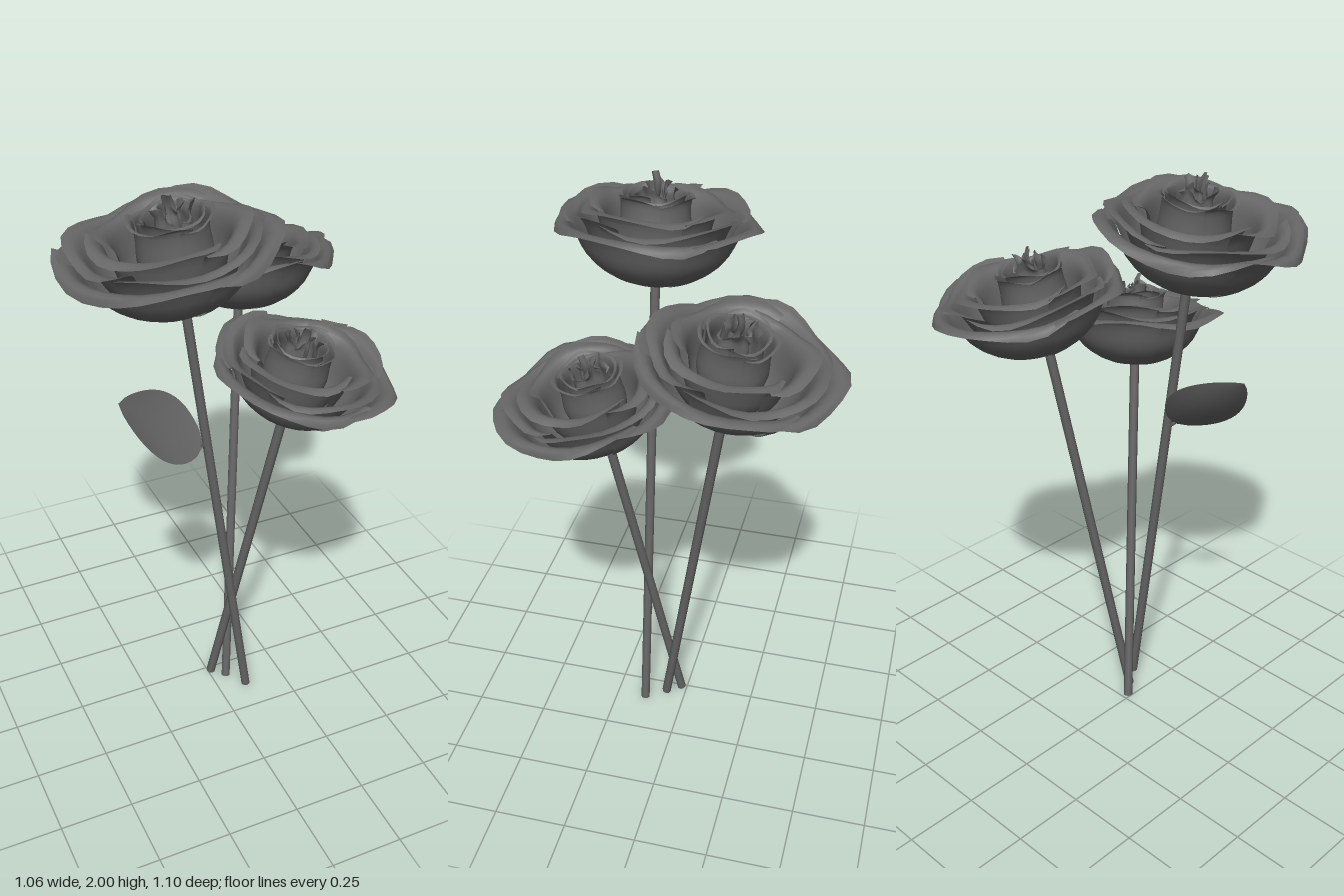
import * as THREE from 'three';

const mat = new THREE.MeshStandardMaterial({ color: 0x666666, side: THREE.DoubleSide });
const UP = new THREE.Vector3(0, 1, 0);

function mesh(name, geometry) {
  const m = new THREE.Mesh(geometry, mat);
  m.name = name;
  return m;
}

// Petal layers from outside in: profile points are [radius, height], lips curl outwards
const layers = [
  { name: 'outerPetal', count: 3, span: 2.4, start: 0.3, twist: 0.03, drop: 0.14, wave: 0.022, crumple: 0.015, shift: 0.025,
    profile: [[0, 0], [0.1, 0.008], [0.18, 0.05], [0.228, 0.1], [0.255, 0.155], [0.285, 0.2], [0.315, 0.205], [0.332, 0.188]] },
  { name: 'lowerPetal', count: 3, span: 2.3, start: 1.4, twist: 0.05, drop: 0.14, wave: 0.02, crumple: 0.015, shift: 0.022,
    profile: [[0, 0.005], [0.1, 0.02], [0.17, 0.07], [0.212, 0.13], [0.235, 0.185], [0.262, 0.225], [0.295, 0.226]] },
  { name: 'middlePetal', count: 3, span: 2.5, start: 0.2, twist: 0.09, drop: 0.13, wave: 0.016, crumple: 0.02, shift: 0.015,
    profile: [[0, 0.015], [0.09, 0.04], [0.145, 0.1], [0.165, 0.17], [0.18, 0.225], [0.205, 0.25], [0.238, 0.245]] },
  { name: 'budPetal', count: 3, span: 2.5, start: 0.5, twist: 0.06, drop: 0.08, wave: 0.01, crumple: 0.02, shift: 0,
    profile: [[0, 0.05], [0.08, 0.08], [0.112, 0.15], [0.108, 0.23], [0.112, 0.278], [0.126, 0.284]] },
  { name: 'budLining', count: 2, span: 3.3, start: 1.6, twist: 0.06, drop: 0.08, wave: 0.012, crumple: 0.03, shift: -0.005,
    profile: [[0, 0.08], [0.07, 0.12], [0.09, 0.2], [0.086, 0.26], [0.094, 0.288], [0.102, 0.288]] },
  { name: 'heartPetal', count: 2, span: 2.7, start: 0.1, twist: 0.15, drop: 0.12, wave: 0.02, crumple: 0.2, shift: -0.005,
    profile: [[0, 0.1], [0.045, 0.16], [0.055, 0.24], [0.05, 0.285], [0.06, 0.305]] },
  { name: 'heartCore', count: 2, span: 2.4, start: 0.9, twist: 0.2, drop: 0.16, wave: 0.016, crumple: 0.35, shift: -0.005,
    profile: [[0, 0.14], [0.022, 0.2], [0.028, 0.27], [0.024, 0.3], [0.034, 0.318]] },
];

// One petal: a sheet swept round the axis, rounded at the sides, rippled and creased at the rim
function petal(layer, index, seed) {
  const curve = new THREE.CatmullRomCurve3(layer.profile.map(([r, y]) => new THREE.Vector3(r, y, 0)));
  const geo = new THREE.PlaneGeometry(2, 1, 12, 14);
  const pos = geo.attributes.position;
  const mid = layer.start + (index * Math.PI * 2) / layer.count;
  const phase = index * 2.1 + seed + layer.start * 3;
  for (let i = 0; i < pos.count; i++) {
    const u = pos.getX(i);
    const v = pos.getY(i) + 0.5;
    const p = curve.getPoint(v * (1 - layer.drop * u ** 4));
    const ripple = v ** 5 * Math.sin(u * 4.5 + phase);
    const crease = v ** 2 * Math.sin(u * 9 + phase);
    const r = p.x * (1 + layer.twist * u + 0.03 * ripple + layer.crumple * crease);
    const a = mid + (u * layer.span) / 2;
    pos.setXYZ(i, r * Math.cos(a), p.y + layer.wave * ripple, r * Math.sin(a));
  }
  geo.computeVertexNormals();
  return mesh(layer.name, geo);
}

// Rose head, with the outer layers pushed a little along the lean
function roseHead(seed, lean) {
  const head = new THREE.Group();
  head.name = 'roseHead';
  for (const layer of layers) {
    const ring = new THREE.Group();
    ring.name = layer.name + 'Ring';
    for (let i = 0; i < layer.count; i++) ring.add(petal(layer, i, seed));
    ring.position.copy(lean).multiplyScalar(layer.shift);
    head.add(ring);
  }
  // small hooked tip in the heart
  const tip = mesh('heartTip', new THREE.PlaneGeometry(0.05, 0.09, 4, 4));
  const pos = tip.geometry.attributes.position;
  for (let i = 0; i < pos.count; i++) {
    const y = pos.getY(i);
    pos.setZ(i, 0.01 * Math.sin(pos.getX(i) * 110) + 5 * y * y);
    pos.setX(i, pos.getX(i) * (0.75 - 5 * y) - 4 * y * y);
  }
  tip.geometry.computeVertexNormals();
  tip.position.y = 0.308;
  head.add(tip);
  return head;
}

function rose({ base, top, scale, seed }) {
  const g = new THREE.Group();
  g.name = 'rose';
  const a = new THREE.Vector3(...base), b = new THREE.Vector3(...top);
  const axis = b.clone().sub(a);
  const dir = axis.clone().normalize();
  const turn = new THREE.Quaternion().setFromUnitVectors(UP, dir);
  // straight stem running into the bottom of the head
  const stem = mesh('stem', new THREE.CylinderGeometry(0.016, 0.016, axis.length() + 0.03, 8));
  stem.position.copy(a).lerp(b, 0.5).addScaledVector(dir, 0.015);
  stem.quaternion.copy(turn);
  const head = roseHead(seed, new THREE.Vector3(axis.x, 0, axis.z).normalize());
  head.position.copy(b);
  head.quaternion.copy(turn);
  head.scale.setScalar(scale);
  g.add(stem, head);
  return g;
}

// Pointed leaf, broad near the base and cupped along its midrib
function leaf() {
  const geo = new THREE.PlaneGeometry(2, 1, 6, 16);
  const pos = geo.attributes.position;
  const along = new THREE.Vector3(-0.285, 0.235, 0.01);
  const normal = new THREE.Vector3(0.48, 0.58, 0.66).normalize();
  const across = along.clone().normalize().cross(normal);
  for (let i = 0; i < pos.count; i++) {
    const u = pos.getX(i), t = pos.getY(i) + 0.5;
    const arch = Math.max(0, Math.sin(Math.PI * t));
    const w = 0.118 * Math.max(0, Math.sin(Math.PI * t ** 0.85)) ** 0.75;
    const p = new THREE.Vector3(-0.075, 1.13, 0.15)
      .addScaledVector(along, t)
      .addScaledVector(across, u * w)
      .addScaledVector(normal, (0.02 * u * u - 0.015) * arch);
    pos.setXYZ(i, p.x, p.y, p.z);
  }
  geo.computeVertexNormals();
  return mesh('leaf', geo);
}

export function createModel() {
  const model = new THREE.Group();
  model.name = 'roseBunch';
  const roses = [
    { base: [0.1, 0.01, 0.14], top: [-0.13, 1.65, 0.14], scale: 1.0, seed: 0.5 },
    { base: [0.05, 0.01, 0.07], top: [0.195, 1.43, -0.165], scale: 0.95, seed: 2.2 },
    { base: [0.01, 0.005, 0.02], top: [0.18, 1.25, 0.225], scale: 0.88, seed: 4.1 },
  ];
  roses.forEach((r) => model.add(rose(r)));
  // short stalk joining the leaf to its stem
  const stalk = new THREE.LineCurve3(new THREE.Vector3(-0.055, 1.11, 0.14), new THREE.Vector3(-0.085, 1.138, 0.15));
  model.add(leaf(), mesh('leafStalk', new THREE.TubeGeometry(stalk, 1, 0.006, 6)));
  return model;
}
